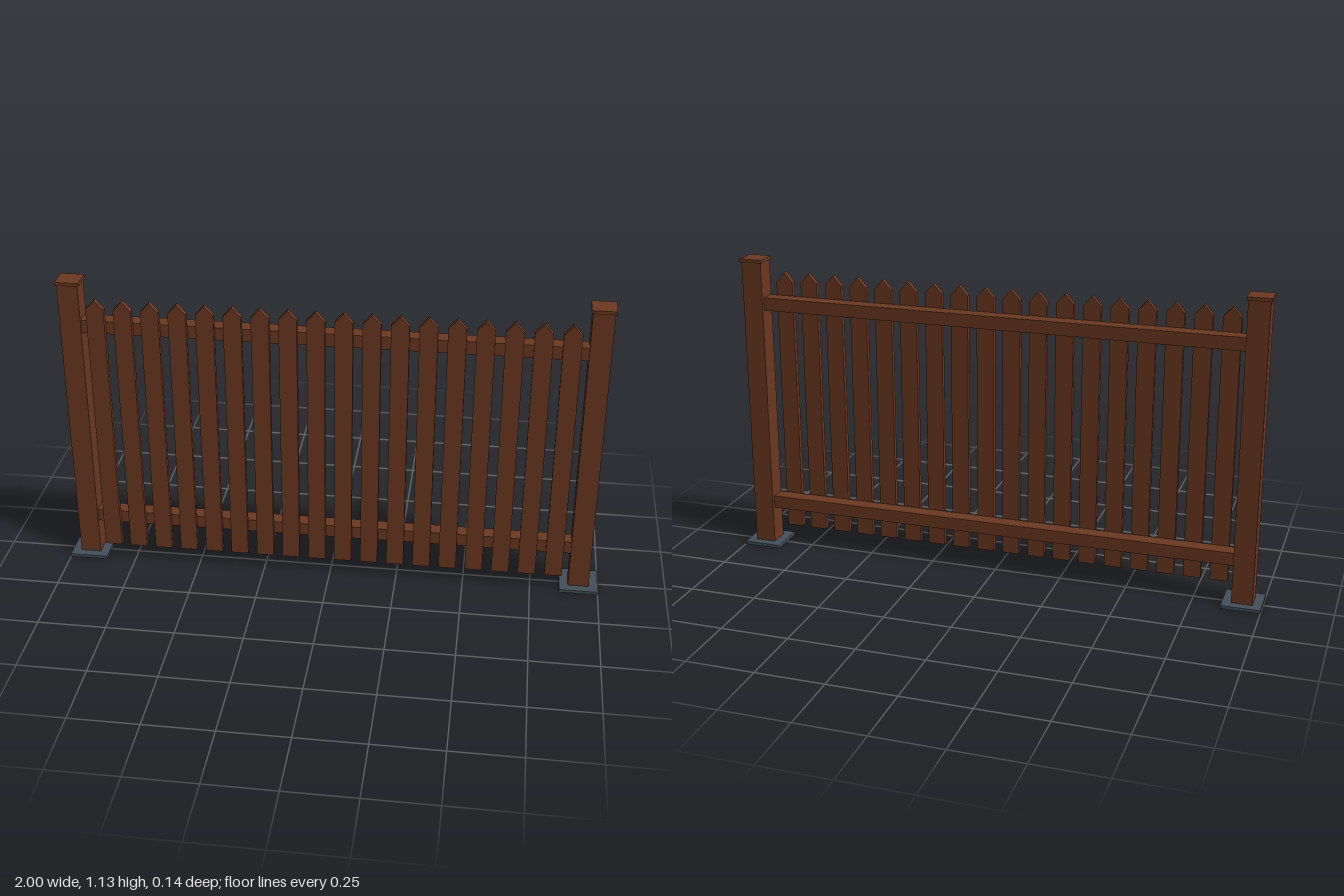
import * as THREE from 'three';

export function createModel() {
  const fence = new THREE.Group();
  fence.name = 'picketFence';

  const wood = new THREE.MeshStandardMaterial({ color: 0x6b3821 });
  wood.name = 'brown wood';
  const metal = new THREE.MeshStandardMaterial({ color: 0x434f5b });
  metal.name = 'slate metal';

  // Box given by its size, centre x/z and bottom height
  function box(name, material, [w, h, d], x, bottom, z, parent = fence) {
    const mesh = new THREE.Mesh(new THREE.BoxGeometry(w, h, d), material);
    mesh.name = name;
    mesh.position.set(x, bottom + h / 2, z);
    parent.add(mesh);
  }

  // End posts with foot plate and flat cap
  for (const [side, s] of [['left', 1], ['right', -1]]) {
    const post = new THREE.Group();
    post.name = `${side}Post`;
    post.position.x = s * 0.929;
    box('footPlate', metal, [0.142, 0.012, 0.142], 0, 0, 0, post);
    box('postShaft', wood, [0.076, 1.105, 0.076], 0, 0.012, 0, post);
    box('postCap', wood, [0.086, 0.012, 0.086], 0, 1.117, 0, post);
    fence.add(post);
  }

  // Horizontal rails between the posts
  box('lowerRail', wood, [1.79, 0.048, 0.056], 0, 0.149, 0.004);
  box('upperRail', wood, [1.79, 0.048, 0.056], 0, 0.936, 0.004);

  // Pointed pickets on the front of the rails
  const half = 0.032, bottom = 0.06, shoulder = 1.036, tip = 1.072;
  const outline = new THREE.Shape([
    new THREE.Vector2(-half, bottom),
    new THREE.Vector2(half, bottom),
    new THREE.Vector2(half, shoulder),
    new THREE.Vector2(0, tip),
    new THREE.Vector2(-half, shoulder),
  ]);
  const picketGeometry = new THREE.ExtrudeGeometry(outline, { depth: 0.02, bevelEnabled: false });
  const count = 18, spacing = 0.0979;
  for (let i = 0; i < count; i++) {
    const picket = new THREE.Mesh(picketGeometry, wood);
    picket.name = `picket${i + 1}`;
    picket.position.set((i - (count - 1) / 2) * spacing, 0, 0.032);
    fence.add(picket);
  }

  return fence;
}
